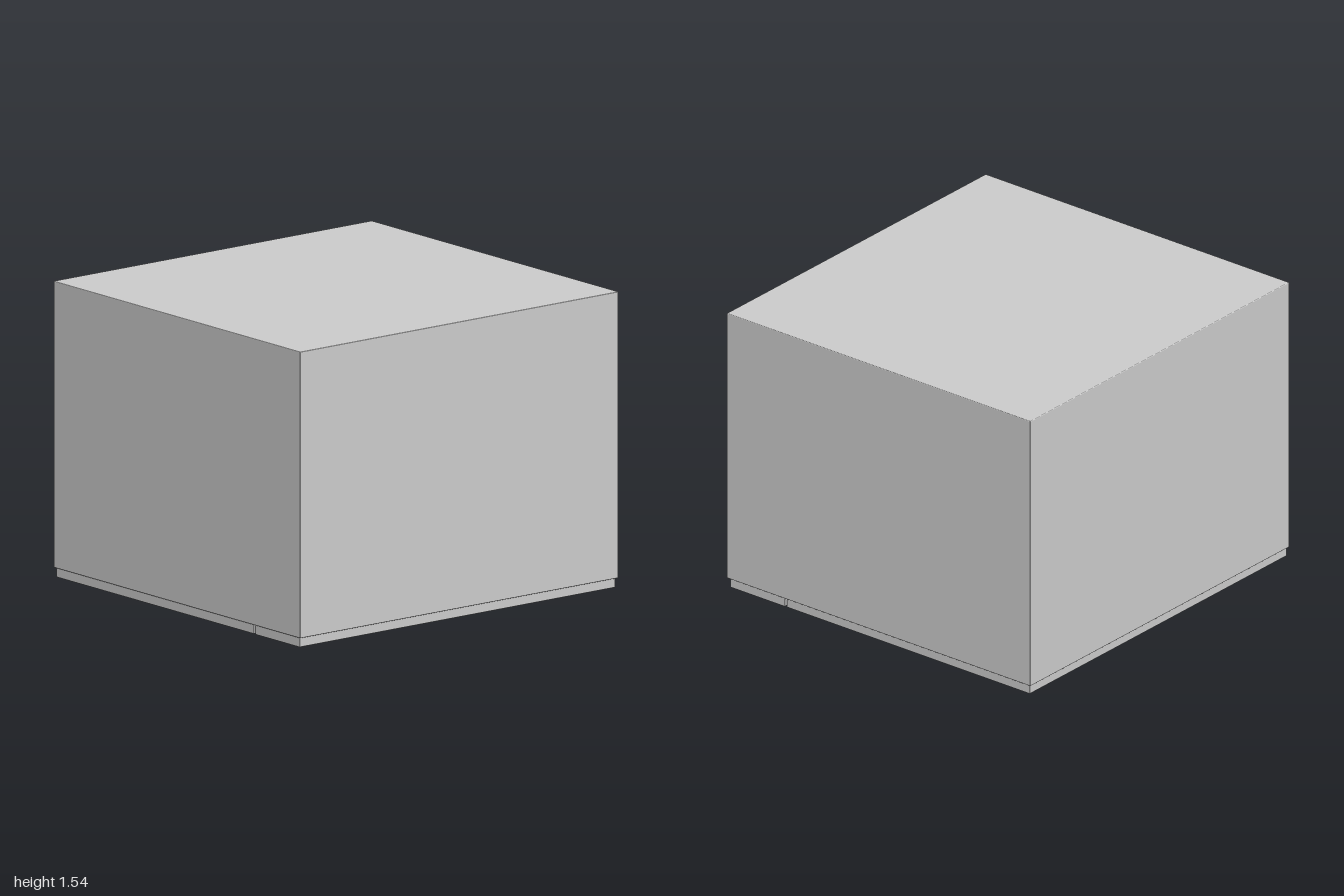
import * as THREE from 'three';
import { RoundedBoxGeometry } from 'three/addons/geometries/RoundedBoxGeometry.js';

const grey = new THREE.MeshStandardMaterial({ color: 0xcccccc });

function add(group, name, geometry, x = 0, y = 0, z = 0) {
  const mesh = new THREE.Mesh(geometry, grey);
  mesh.name = name;
  mesh.position.set(x, y, z);
  group.add(mesh);
  return mesh;
}

// Box given by its half width and its y and z limits, centred on x
function slab(group, name, halfX, y0, y1, z0, z1, radius = 0) {
  const size = [2 * halfX, y1 - y0, z1 - z0];
  const geometry = radius
    ? new RoundedBoxGeometry(...size, 2, radius)
    : new THREE.BoxGeometry(...size);
  return add(group, name, geometry, 0, (y0 + y1) / 2, (z0 + z1) / 2);
}

export function createModel() {
  const oven = new THREE.Group();
  oven.name = 'oven';

  // Cabinet, lying on its face so the door looks down
  slab(oven, 'cabinet', 1, 0.103, 1.54, -0.955, 0.955, 0.004);

  // Door with stepped window and rack bars behind the glass
  const door = new THREE.Group();
  door.name = 'door';
  oven.add(door);
  slab(door, 'doorPanel', 0.992, 0.055, 0.103, -0.945, 0.584, 0.004);
  slab(door, 'windowFrame', 0.855, 0.051, 0.057, -0.795, 0.32);
  slab(door, 'windowGlass', 0.71, 0.048, 0.053, -0.67, 0.12);
  for (const z of [-0.475, -0.275, -0.075]) {
    slab(door, 'rackBar', 0.6, 0.046, 0.05, z - 0.003, z + 0.003);
  }

  // Handle bar on two posts
  const bar = add(door, 'handleBar', new THREE.CylinderGeometry(0.011, 0.011, 1.51, 24), 0, 0.011, 0.45);
  bar.rotation.z = Math.PI / 2;
  for (const side of [-1, 1]) {
    add(door, 'handlePost', new THREE.CylinderGeometry(0.007, 0.007, 0.046, 16), side * 0.742, 0.034, 0.45);
  }

  // Control panel with display and knobs
  const controls = new THREE.Group();
  controls.name = 'controls';
  oven.add(controls);
  slab(controls, 'controlPanel', 0.992, 0.054, 0.103, 0.597, 0.94, 0.004);
  slab(controls, 'displayBezel', 0.29, 0.05, 0.057, 0.67, 0.83);
  slab(controls, 'displayScreen', 0.23, 0.047, 0.052, 0.7, 0.8);
  for (const side of [-1, 1]) {
    add(controls, 'knob', new THREE.CylinderGeometry(0.042, 0.039, 0.044, 32), side * 0.677, 0.032, 0.748);
  }

  return oven;
}
